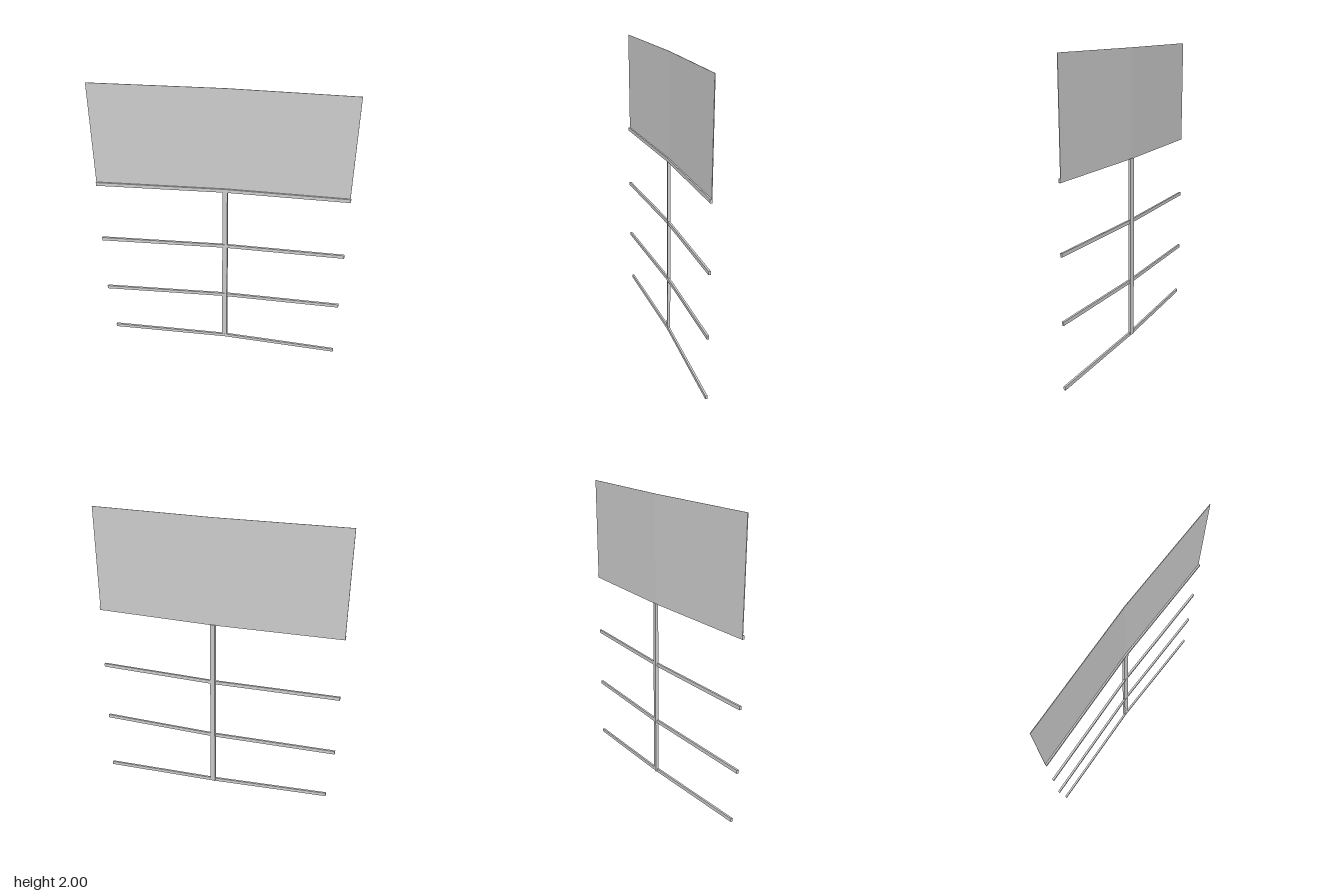
import * as THREE from 'three';

const material = new THREE.MeshStandardMaterial({ color: 0xcccccc, flatShading: true });
const MID_X = 0.018;

// Plan line shared by the panel and rails, with a slight bend at the post
const planZ = (x) => (x < MID_X
  ? THREE.MathUtils.mapLinear(x, -0.815, MID_X, 0.157, -0.026)
  : THREE.MathUtils.mapLinear(x, MID_X, 0.815, -0.026, -0.156));

// Upright strip following the plan line; heightAt can slope it along x
function strip(name, x0, x1, offset, depth, height, heightAt) {
  const xs = [x0, MID_X, x1];
  const edge = (d) => xs.map((x) => new THREE.Vector2(x, -(planZ(x) + offset + d)));
  const shape = new THREE.Shape([...edge(depth / 2), ...edge(-depth / 2).reverse()]);
  const geo = new THREE.ExtrudeGeometry(shape, { depth: height, bevelEnabled: false });
  geo.rotateX(-Math.PI / 2);
  const p = geo.attributes.position;
  for (let i = 0; i < p.count; i++) p.setY(i, p.getY(i) - height / 2 + heightAt(p.getX(i)));
  geo.computeVertexNormals();
  const mesh = new THREE.Mesh(geo, material);
  mesh.name = name;
  return mesh;
}

export function createModel() {
  const group = new THREE.Group();
  group.name = 'bentSignFrame';

  // Thin panel, folded at the middle
  group.add(strip('panel', -0.815, 0.81, -0.002, 0.004, 0.71, () => 1.645));

  // Level rails
  [['panelRail', 1.298], ['upperRail', 0.86], ['lowerRail', 0.435]].forEach(([name, y]) => {
    group.add(strip(name, -0.815, 0.815, 0.003, 0.014, 0.024, () => y));
  });

  // Bottom rail follows sloping ground
  const slope = (x) => (x < MID_X
    ? THREE.MathUtils.mapLinear(x, -0.78, MID_X, 0.072, 0.047)
    : THREE.MathUtils.mapLinear(x, MID_X, 0.815, 0.047, 0.012));
  group.add(strip('bottomRail', -0.78, 0.815, 0.003, 0.014, 0.024, slope));

  // Central post
  const post = new THREE.Mesh(new THREE.BoxGeometry(0.034, 1.25, 0.02), material);
  post.name = 'post';
  post.position.set(MID_X, 0.665, -0.027);
  group.add(post);

  return group;
}
